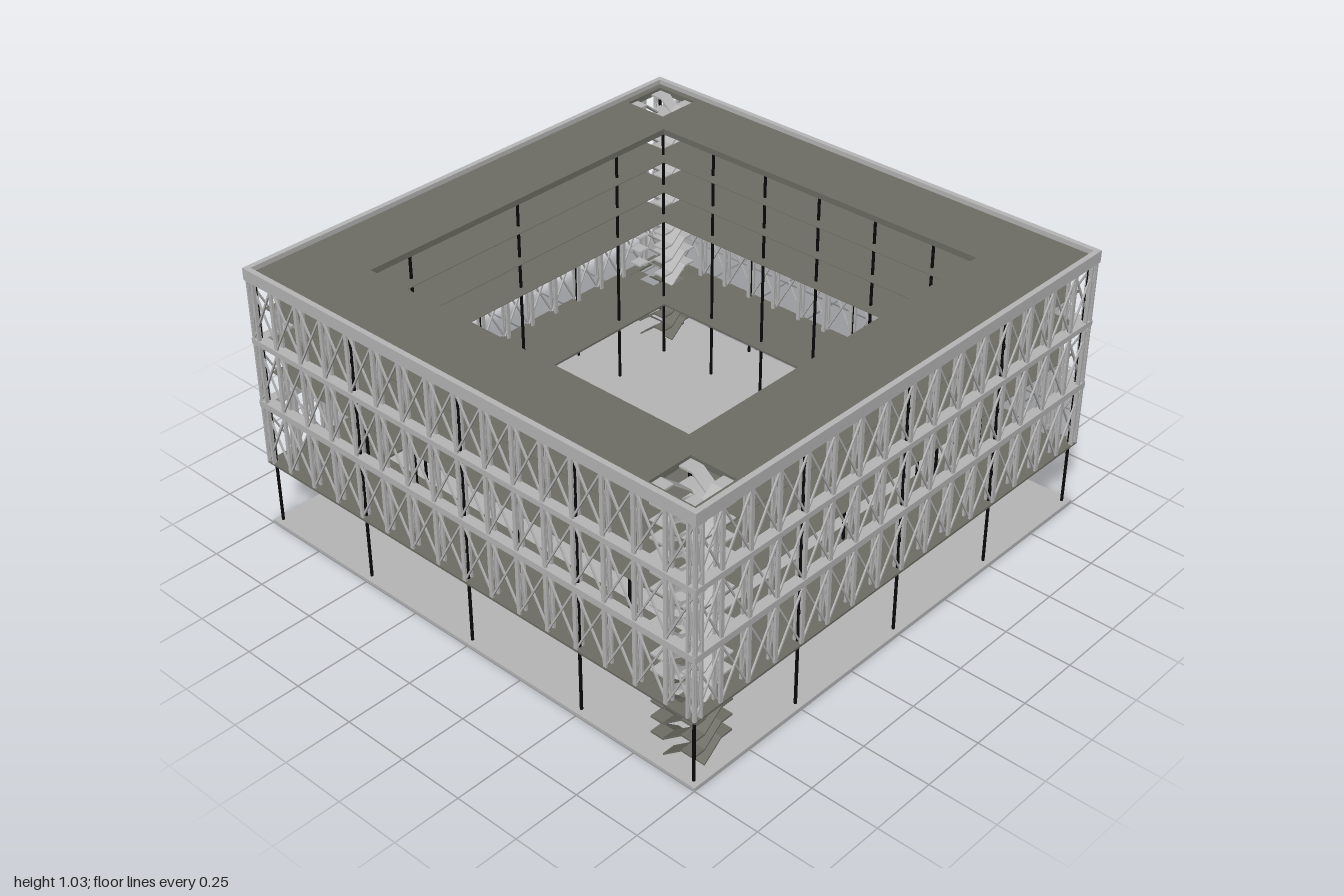
import * as THREE from 'three';
import { mergeGeometries } from 'three/addons/utils/BufferGeometryUtils.js';

const mat = (name, color) => {
  const m = new THREE.MeshStandardMaterial({ color });
  m.name = name;
  return m;
};

// Axis-aligned box given its centre and size
const box = (x, y, z, w, h, d) => new THREE.BoxGeometry(w, h, d).translate(x, y, z);

// Straight square bar between two points
function bar(a, b, w) {
  const p = new THREE.Vector3(...a), q = new THREE.Vector3(...b);
  const dir = q.clone().sub(p);
  const g = new THREE.BoxGeometry(w, dir.length(), w);
  g.applyQuaternion(new THREE.Quaternion().setFromUnitVectors(new THREE.Vector3(0, 1, 0), dir.normalize()));
  return g.translate((p.x + q.x) / 2, (p.y + q.y) / 2, (p.z + q.z) / 2);
}

const square = (Type, x, y, r) => new Type([
  new THREE.Vector2(x - r, y - r), new THREE.Vector2(x + r, y - r),
  new THREE.Vector2(x + r, y + r), new THREE.Vector2(x - r, y + r)]);

const TOWER = 0.868, HALF = 0.088;

// Flat square ring from y0 to y1, optionally with openings for the stair towers
function ring(outer, inner, y0, y1, openings = false) {
  const s = square(THREE.Shape, 0, 0, outer);
  s.holes.push(square(THREE.Path, 0, 0, inner));
  if (openings) for (const k of [1, -1]) s.holes.push(square(THREE.Path, k * TOWER, -k * TOWER, HALF));
  return new THREE.ExtrudeGeometry(s, { depth: y1 - y0, bevelEnabled: false })
    .rotateX(-Math.PI / 2).translate(0, y0, 0);
}

// Sloping slab rising along +x
function ramp(y, z, run, rise, width) {
  const g = new THREE.BoxGeometry(run, 0.007, width);
  const p = g.attributes.position;
  for (let i = 0; i < p.count; i++) p.setY(i, p.getY(i) + (p.getX(i) / run + 0.5) * rise);
  g.computeVertexNormals();
  return g.translate(0, y, z);
}

export function createModel() {
  const model = new THREE.Group();
  const lightGrey = mat('light grey', 0xb6b6b7);
  const olive = mat('olive grey', 0x6d6d65);
  const black = mat('black', 0x080808);
  const add = (name, geo, m, parent = model) => {
    const mesh = new THREE.Mesh(geo, m);
    mesh.name = name;
    parent.add(mesh);
    return mesh;
  };

  // Ground slab, floors and roof
  add('groundSlab', box(0, 0.006, 0, 2, 0.012, 2), lightGrey);
  add('lowerFloor', ring(0.995, 0.705, 0.257, 0.265, true), olive);
  for (const y of [0.625, 0.75, 0.875]) add('upperFloor', ring(0.96, 0.705, y - 0.001, y + 0.001, true), olive);
  add('roof', ring(0.981, 0.705, 0.99, 1.012, true), olive);

  // Perimeter bands
  add('parapet', ring(1, 0.98, 0.985, 1.03), lightGrey);
  add('middleBand', ring(0.998, 0.96, 0.49, 0.515), lightGrey);
  add('upperBand', ring(0.998, 0.96, 0.741, 0.762), lightGrey);

  // One facade truss, three tiers high, repeated on all four sides
  const tiers = [[0.265, 0.49], [0.515, 0.741], [0.762, 0.988]];
  const front = 0.99, back = 0.964, parts = [];
  const postX = i => Math.max(-0.99, Math.min(0.99, i * 0.125));
  for (const [y0, y1] of tiers) {
    for (let i = -8; i <= 8; i++) {
      const x = postX(i), yc = (y0 + y1) / 2, h = y1 - y0;
      parts.push(box(x, yc, front, 0.014, h, 0.008), box(x, yc, back, 0.014, h, 0.008));
      parts.push(bar([x, y0, front], [x, y1, back], 0.004), bar([x, y1, front], [x, y0, back], 0.004));
      if (i === 8) continue;
      const n = postX(i + 1);
      parts.push(bar([x, y0, front], [n, y1, front], 0.006), bar([x, y1, front - 0.006], [n, y0, front - 0.006], 0.006));
    }
  }
  const trussGeo = mergeGeometries(parts);
  for (let s = 0; s < 4; s++) add('facadeTruss', trussGeo, lightGrey).rotation.y = s * Math.PI / 2;

  // Columns around the outside and around the courtyard
  const spots = [];
  for (const k of [-1, 1]) {
    for (const x of [-0.975, -0.5, 0, 0.5, 0.975]) spots.push([x, k * 0.975]);
    for (let i = -3; i <= 3; i++) spots.push([i * 0.25, k * 0.75]);
    for (const z of [-0.5, 0, 0.5]) spots.push([k * 0.975, z], [k * 0.75, z]);
  }
  const columnGeo = new THREE.CylinderGeometry(0.0055, 0.0055, 0.98, 8).translate(0, 0.5, 0);
  for (const [x, z] of spots) add('column', columnGeo, black).position.set(x, 0, z);

  // Square winding stair: each side carries a ramped flight per level between corner landings
  const rise = 0.0615, width = 0.05, run = 2 * (HALF - width), off = HALF - width / 2;
  const flights = (from, to) => {
    const list = [];
    for (let level = from; level < to; level++) {
      const y = 0.014 + level * rise;
      list.push(ramp(y, off, run, rise, width), box(off, y + rise, off, width, 0.007, width));
    }
    return mergeGeometries(list);
  };
  const groundFlights = flights(0, 4), upperFlights = flights(4, 16);
  for (const k of [1, -1]) {
    const tower = new THREE.Group();
    tower.name = 'stairTower';
    tower.position.set(k * TOWER, 0, k * TOWER);
    for (let s = 0; s < 4; s++) {
      add('groundStairFlights', groundFlights, olive, tower).rotation.y = s * Math.PI / 2;
      add('upperStairFlights', upperFlights, lightGrey, tower).rotation.y = s * Math.PI / 2;
    }
    model.add(tower);
  }
  return model;
}
